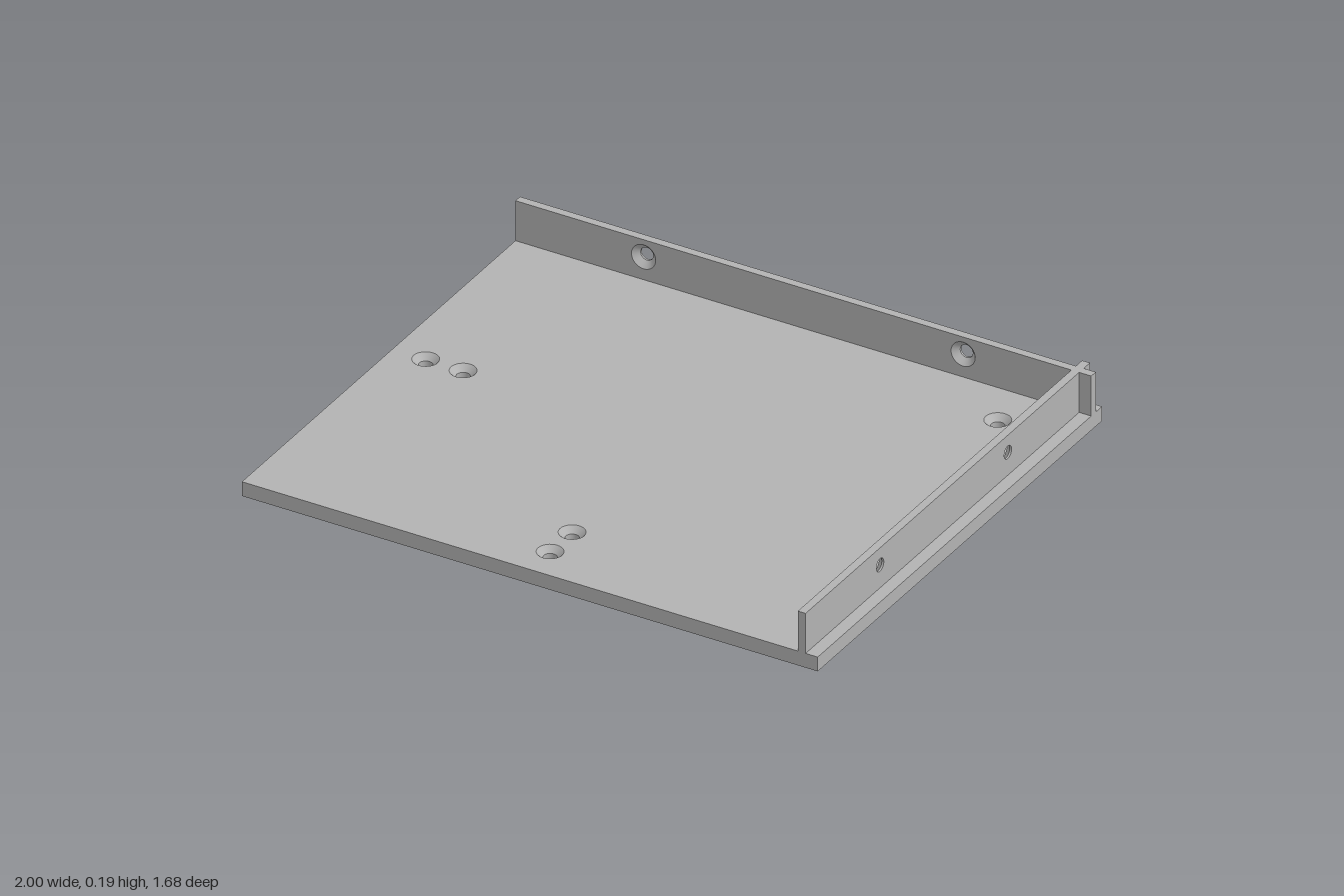
import * as THREE from 'three';
import { mergeGeometries } from 'three/addons/utils/BufferGeometryUtils.js';

const BORE = 0.022, SINK = 0.042, SINK_DEPTH = 0.02;

// Rectangular face in the XZ plane, facing up, pierced by round holes
function piercedFace(w, d, holes, r) {
  const s = new THREE.Shape();
  s.moveTo(-w / 2, -d / 2);
  s.lineTo(w / 2, -d / 2);
  s.lineTo(w / 2, d / 2);
  s.lineTo(-w / 2, d / 2);
  s.closePath();
  for (const [x, z] of holes) {
    const h = new THREE.Path();
    h.absarc(x, -z, r, 0, Math.PI * 2, true);
    s.holes.push(h);
  }
  return new THREE.ShapeGeometry(s, 16).rotateX(-Math.PI / 2);
}

// Panel lying on y = 0 with holes countersunk from its upper side
function panel(w, d, t, holes) {
  const top = piercedFace(w, d, holes, SINK).translate(0, t, 0);

  const bottom = piercedFace(w, d, holes.map(([x, z]) => [x, -z]), BORE).rotateX(Math.PI);

  // Box with its top and bottom faces dropped
  const sides = new THREE.BoxGeometry(w, t, d).translate(0, t / 2, 0);
  const index = Array.from(sides.index.array);
  index.splice(12, 12);
  sides.setIndex(index);
  sides.clearGroups();

  const parts = [top, bottom, sides];
  for (const [x, z] of holes) {
    // Conical countersink, then straight bore, both facing the hole's axis
    const rings = [[SINK, t], [BORE, t - SINK_DEPTH], [BORE, 0]].map(p => new THREE.Vector2(...p));
    for (let i = 0; i < 2; i++) {
      parts.push(new THREE.LatheGeometry(rings.slice(i, i + 2), 32).translate(x, 0, z));
    }
  }
  return mergeGeometries(parts);
}

export function createModel() {
  const group = new THREE.Group();
  const grey = new THREE.MeshStandardMaterial({ color: 0xb2b2b2 });
  grey.name = 'grey';

  const add = (name, geometry, x, y, z) => {
    const mesh = new THREE.Mesh(geometry, grey);
    mesh.name = name;
    mesh.position.set(x, y, z);
    group.add(mesh);
  };

  const base = 0.05, height = 0.19, thick = 0.027;
  const wall = height - base, midY = base + wall / 2, holeUp = 0.13 - midY;

  add('basePlate', panel(2, 1.68, base,
    [[-0.885, -0.05], [-0.755, -0.05], [0, 0.59], [0, 0.72], [0.77, -0.615]]), 0, 0, 0);

  // Two lips set in from the edges and crossing at the corner
  add('backLip', panel(2, wall, thick, [[-0.555, -holeUp], [0.555, -holeUp]])
    .rotateX(Math.PI / 2), 0, midY, -0.803);
  add('leftLip', panel(wall, 1.68, thick, [[holeUp, 0.4], [holeUp, -0.355]])
    .rotateZ(Math.PI / 2), 0.958, midY, 0);

  return group;
}
